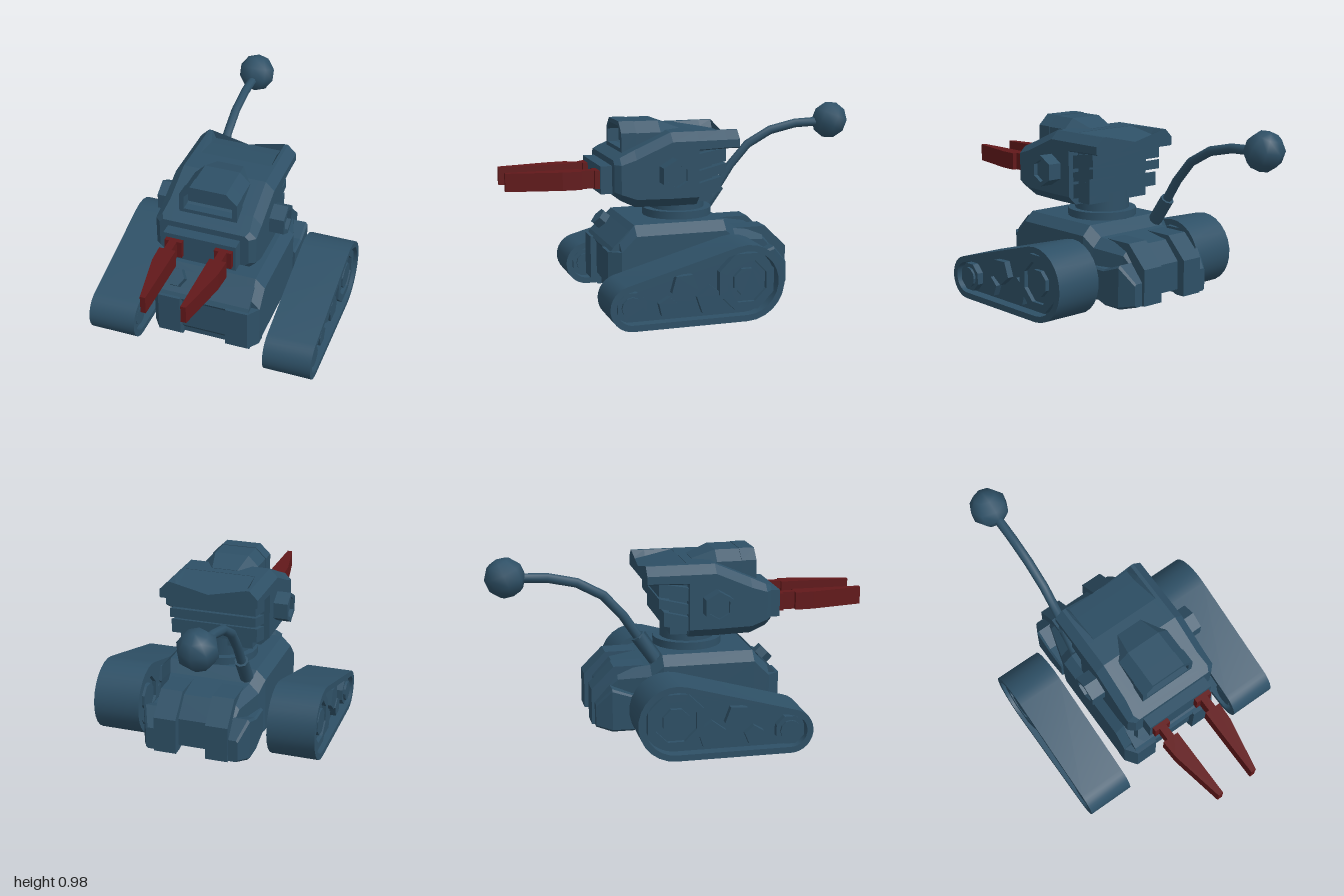
import * as THREE from 'three';
import { toCreasedNormals } from 'three/addons/utils/BufferGeometryUtils.js';

const blue = new THREE.MeshStandardMaterial({ color: 0x2e5066, flatShading: true });
const smoothBlue = new THREE.MeshStandardMaterial({ color: 0x2e5066 });
const red = new THREE.MeshStandardMaterial({ color: 0x62181a, flatShading: true });

export function createModel() {
  const model = new THREE.Group();

  function add(name, geo, mat = blue, parent = model) {
    const mesh = new THREE.Mesh(mat === smoothBlue ? toCreasedNormals(geo, 1) : geo, mat);
    mesh.name = name;
    parent.add(mesh);
    return mesh;
  }
  // Box from its minimum and maximum corners
  function box(x0, x1, y0, y1, z0, z1) {
    return new THREE.BoxGeometry(x1 - x0, y1 - y0, z1 - z0)
      .translate((x0 + x1) / 2, (y0 + y1) / 2, (z0 + z1) / 2);
  }
  // Side profile given as [z, y], extruded from x0 to x1
  function extrudeX(shape, x0, x1) {
    return new THREE.ExtrudeGeometry(shape, { depth: x1 - x0, bevelEnabled: false })
      .rotateY(-Math.PI / 2).translate(x1, 0, 0);
  }
  // Plan given as [x, z], extruded down from the height top
  function extrudeDown(plan, top, depth) {
    return new THREE.ExtrudeGeometry(poly(plan), { depth, bevelEnabled: false })
      .rotateX(Math.PI / 2).translate(0, top, 0);
  }
  const poly = pts => new THREE.Shape(pts.map(p => new THREE.Vector2(p[0], p[1])));
  const ngon = (n, r, z, y, turn) => Array.from({ length: n }, (_, i) => {
    const a = turn + i * Math.PI * 2 / n;
    return [z + r * Math.cos(a), y + r * Math.sin(a)];
  });
  function ring(outer, inner) {
    const shape = poly(outer);
    shape.holes.push(poly([...inner].reverse()));
    return shape;
  }
  // Chamfered cross-section; d sinks a trough in the top, e a channel in the bottom
  function section([z, w, y0, y1, c, cb = c, d = 0, e = 0]) {
    const half = [[w * 0.43, y0 + e], [w * 0.435, y0], [w - cb, y0], [w, y0 + cb], [w, y1 - c], [w - c, y1],
      [Math.min(w * 0.76, w - c), y1], [Math.min(w * 0.68, w - c), y1 - d]];
    return [...half, ...half.map(([x, y]) => [-x, y]).reverse()].map(([x, y]) => [x, y, z]);
  }
  // Skin over cross-sections ordered from front to back
  function loft(rows) {
    const rings = rows.map(section), pos = [], n = rings[0].length;
    const mid = r => [0, (rows[r][2] + rows[r][3]) / 2, rows[r][0]];
    const last = rings.length - 1;
    for (let i = 0; i < n; i++) {
      const j = (i + 1) % n;
      for (let r = 0; r < last; r++) {
        const a = rings[r], b = rings[r + 1];
        pos.push(...a[i], ...b[i], ...b[j], ...a[i], ...b[j], ...a[j]);
      }
      pos.push(...mid(0), ...rings[0][i], ...rings[0][j]);
      pos.push(...mid(last), ...rings[last][j], ...rings[last][i]);
    }
    const geo = new THREE.BufferGeometry();
    geo.setAttribute('position', new THREE.Float32BufferAttribute(pos, 3));
    geo.computeVertexNormals();
    return geo;
  }

  // Hull with a channel along its underside
  add('hull', loft([
    [0.45, 0.29, 0.055, 0.36, 0.045, 0.045, 0, 0.14],
    [0.37, 0.29, 0.055, 0.445, 0.05, 0.045, 0, 0.2], [-0.11, 0.29, 0.055, 0.445, 0.05, 0.045, 0, 0.2],
    [-0.17, 0.27, 0.055, 0.39, 0.05, 0.045, 0, 0.18], [-0.34, 0.22, 0.08, 0.36, 0.04, 0.04, 0, 0.1],
    [-0.43, 0.2, 0.11, 0.26, 0.03]]));
  add('frontBrow', extrudeX(poly([[0.4, 0.31], [0.5, 0.312], [0.485, 0.335], [0.4, 0.42]]), -0.245, 0.245));
  add('frontPanel', extrudeX(poly([[0.4, 0.06], [0.455, 0.06], [0.455, 0.088], [0.48, 0.12], [0.48, 0.285],
    [0.495, 0.313], [0.4, 0.313]]), -0.126, 0.126));
  for (const s of [-1, 1]) {
    const span = (a, b) => (s > 0 ? [a, b] : [-b, -a]);
    const mirror = pts => (s > 0 ? pts : pts.map(([x, z]) => [-x, z]).reverse());
    const plan = mirror([[0.125, 0.4], [0.29, 0.4], [0.29, 0.45], [0.245, 0.512], [0.125, 0.512]]);
    add('frontPillar', extrudeDown(plan, 0.318, 0.228));
    add('pillarFoot', extrudeX(poly([[0.4, 0.055], [0.475, 0.055], [0.512, 0.092], [0.4, 0.092]]), ...span(0.125, 0.245)));
    add('rearStrap', extrudeX(poly([[-0.1, 0.385], [-0.36, 0.385], [-0.475, 0.27],
      [-0.475, 0.08], [-0.42, 0.08], [-0.1, 0.2]]), ...span(0.08, 0.2)));
    // Tapered pod beside each rear strap
    add('rearPod', loft([[-0.15, 0.075, 0.1, 0.25, 0.01], [-0.27, 0.075, 0.06, 0.25, 0.01],
      [-0.38, 0.075, 0.06, 0.29, 0.012], [-0.46, 0.035, 0.08, 0.2, 0.01]])).position.x = s * 0.215;
  }
  const knob = add('frontKnob', new THREE.CylinderGeometry(0.05, 0.053, 0.07, 6).rotateY(Math.PI / 6));
  knob.position.set(-0.165, 0.395, 0.437);
  knob.rotation.x = 0.82;

  // Neck
  add('neckBase', new THREE.CylinderGeometry(0.183, 0.183, 0.06, 24).translate(0, 0.455, 0.07), smoothBlue);
  add('neck', new THREE.CylinderGeometry(0.145, 0.145, 0.16, 24).translate(0, 0.53, 0.07), smoothBlue);

  // Head with a roof plate overhanging the rear slats
  const head = new THREE.Group();
  head.name = 'head';
  model.add(head);
  add('headShell', loft([
    [0.47, 0.235, 0.6, 0.78, 0.02], [0.44, 0.265, 0.575, 0.793, 0.035],
    [0.36, 0.265, 0.535, 0.828, 0.045], [0.17, 0.265, 0.53, 0.91, 0.045],
    [0.03, 0.265, 0.53, 0.91, 0.045]]), blue, head);
  add('roofPlate', loft([
    [0.04, 0.265, 0.815, 0.91, 0.045, 0.005], [-0.12, 0.265, 0.82, 0.91, 0.045, 0.005, 0.03],
    [-0.19, 0.265, 0.82, 0.91, 0.045, 0.005, 0.045]]), blue, head);
  add('rearCore', box(-0.2, 0.2, 0.54, 0.83, -0.06, 0.05), blue, head);
  for (const [low, high, rise, end] of [[0.72, 0.79, 0.03, -0.125], [0.65, 0.7, 0.04, -0.125], [0.56, 0.635, 0.035, -0.1]]) {
    add('rearSlat', extrudeX(poly([[0.04, low], [0.04, high], [end, high + rise], [end, low + rise]]),
      -0.235, 0.235), blue, head);
  }

  // Roof hatch recessed behind an arched rim
  add('hatch', loft([
    [0.35, 0.148, 0.78, 0.957, 0.055, 0.001], [0.2, 0.148, 0.8, 0.957, 0.055, 0.001],
    [0.08, 0.09, 0.85, 0.912, 0.02, 0.001]]), blue, head);
  const arch = ring(
    [[-0.152, 0.805], [0.152, 0.805], [0.152, 0.905], [0.095, 0.96], [-0.095, 0.96], [-0.152, 0.905]],
    [[-0.128, 0.826], [0.128, 0.826], [0.128, 0.895], [0.085, 0.937], [-0.085, 0.937], [-0.128, 0.895]]);
  add('hatchRim', new THREE.ExtrudeGeometry(arch, { depth: 0.08, bevelEnabled: false }).translate(0, 0, 0.33), blue, head);

  // Muzzle, ears and prongs
  add('muzzle', box(-0.19, 0.19, 0.605, 0.748, 0.45, 0.53), blue, head);
  for (const s of [-1, 1]) {
    const span = (a, b) => (s > 0 ? [a, b] : [-b, -a]);
    const mirror = pts => (s > 0 ? pts : pts.map(([x, z]) => [-x, z]).reverse());
    const hex = r => ngon(6, r, 0.17, 0.705, Math.PI / 2);
    add('earRing', extrudeX(ring(hex(0.083), hex(0.06)), ...span(0.25, 0.342)), blue, head);
    add('earCore', extrudeX(poly(hex(0.062)), ...span(0.25, 0.32)), blue, head);
    add('prong', extrudeDown(mirror([[0.085, 0.52], [0.175, 0.52], [0.175, 0.555], [0.15, 0.555], [0.15, 0.622],
      [0.175, 0.622], [0.17, 0.72], [0.115, 1], [0.088, 1], [0.088, 0.622], [0.11, 0.622], [0.11, 0.555],
      [0.085, 0.555]]), 0.724, 0.093), red, head);
  }

  // Tracks: a belt around a large rear wheel and a small front wheel
  function beltPoints(inset) {
    const pts = [], top = 1.3015, n = 14;
    const arc = (z, y, r, a0, a1) => {
      for (let i = 0; i <= n; i++) {
        const a = a0 + (a1 - a0) * i / n;
        pts.push([z + r * Math.cos(a), y + r * Math.sin(a)]);
      }
    };
    arc(0.48, 0.115, 0.115 - inset, -Math.PI / 2, top);
    arc(-0.11, 0.195, 0.195 - inset, top, Math.PI * 1.5);
    return pts;
  }
  for (const s of [-1, 1]) {
    const track = new THREE.Group();
    track.name = s > 0 ? 'leftTrack' : 'rightTrack';
    track.position.x = s * 0.4825;
    model.add(track);
    add('belt', extrudeX(ring(beltPoints(0), beltPoints(0.032)), -0.128, 0.128), smoothBlue, track);
    add('trackWeb', extrudeX(poly(beltPoints(0.03)), -0.07, 0.07), blue, track);
    const bigWheel = r => ngon(8, r, -0.11, 0.2, Math.PI / 8);
    add('wheelRim', extrudeX(ring(bigWheel(0.155), bigWheel(0.112)), -0.112, 0.112), blue, track);
    // Each wheel: z, y, radius, half width, sides, turn
    for (const [z, y, r, h, sides, turn] of [
      [-0.11, 0.2, 0.12, 0.09, 8, 0.393], [-0.11, 0.2, 0.072, 0.112, 8, 0.393], [0.48, 0.115, 0.078, 0.105, 8, 0.393],
      [0.48, 0.115, 0.054, 0.118, 12, 0], [0.295, 0.1, 0.053, 0.105, 5, 0.4], [0.21, 0.195, 0.072, 0.105, 5, 0.9],
      [0.075, 0.115, 0.075, 0.1, 5, 0.3]]) {
      add('wheel', extrudeX(poly(ngon(sides, r, z, y, turn)), -h, h), blue, track);
    }
  }

  // Curved tail rod with a ball
  const rod = [[0.4, -0.13], [0.54, -0.23], [0.735, -0.37], [0.83, -0.52], [0.87, -0.69], [0.875, -0.84]]
    .map(([y, z]) => new THREE.Vector3(-0.195, y, z));
  add('tailRod', new THREE.TubeGeometry(new THREE.CatmullRomCurve3(rod), 6, 0.025, 8), smoothBlue);
  const socket = new THREE.LineCurve3(rod[0], rod[1]);
  add('tailSocket', new THREE.TubeGeometry(socket, 1, 0.037, 8), smoothBlue);
  const cap = add('socketCap', new THREE.CylinderGeometry(0.037, 0.037, 0.01, 8), blue);
  cap.position.copy(rod[1]);
  cap.quaternion.setFromUnitVectors(new THREE.Vector3(0, 1, 0), socket.getTangent(0));
  const ball = add('tailBall', new THREE.SphereGeometry(0.104, 8, 5), smoothBlue);
  ball.position.set(-0.197, 0.88, -0.898);
  ball.rotation.x = -0.4;
  return model;
}
